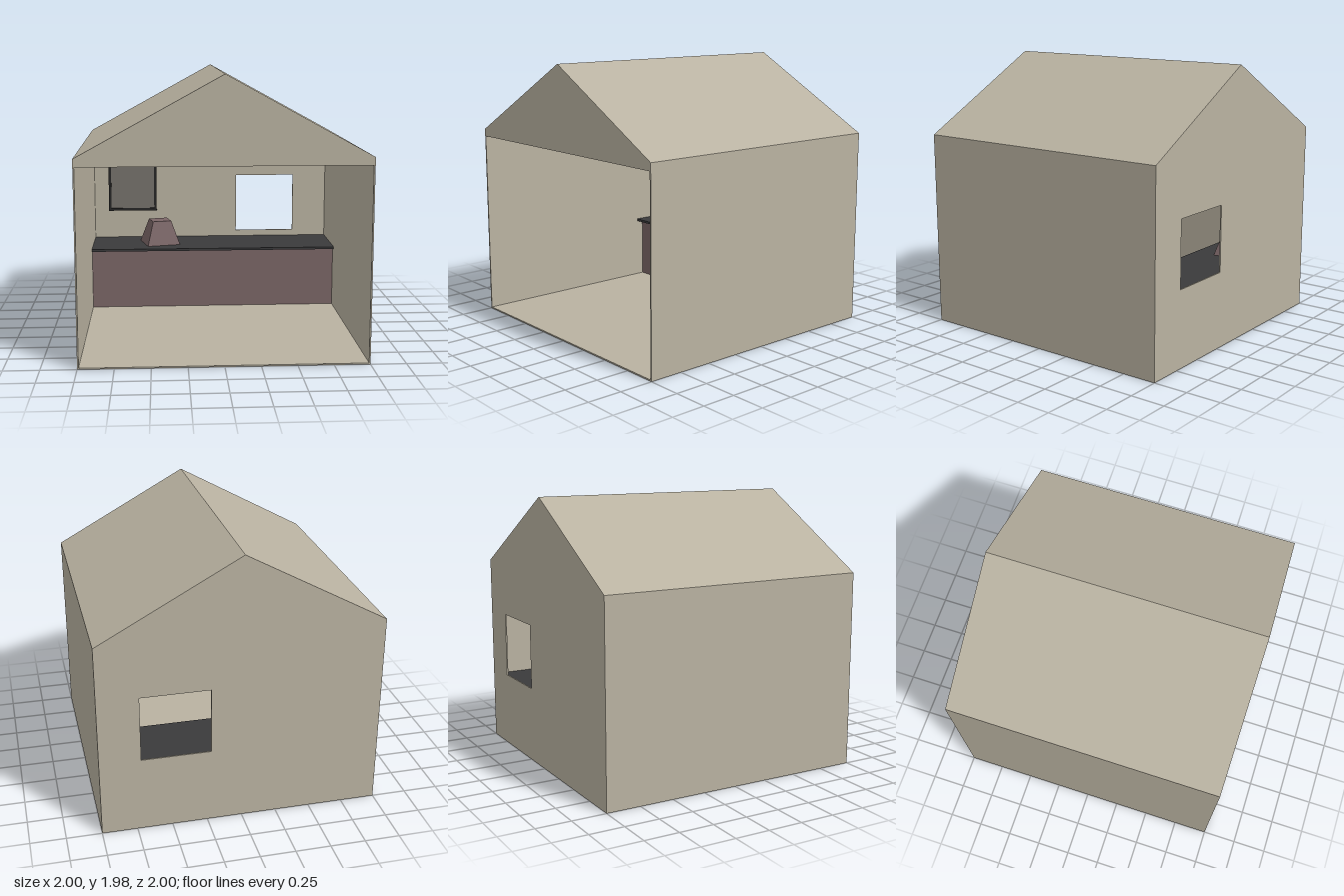
import * as THREE from 'three';

const mat = (name, color) => {
  const m = new THREE.MeshStandardMaterial({ color });
  m.name = name;
  return m;
};

export function createModel() {
  const plaster = mat('plaster', 0xb9b2a1);
  const plum = mat('plum', 0x7a6566);
  const charcoal = mat('charcoal', 0x3a3a3b);
  const black = mat('black', 0x262626);
  const glass = mat('greyGlass', 0x75716a);

  const house = new THREE.Group();
  house.name = 'house';
  const add = (name, geometry, material, x = 0, y = 0, z = 0) => {
    const mesh = new THREE.Mesh(geometry, material);
    mesh.name = name;
    mesh.position.set(x, y, z);
    house.add(mesh);
    return mesh;
  };
  const box = (name, material, x0, x1, y0, y1, z0, z1) =>
    add(name, new THREE.BoxGeometry(x1 - x0, y1 - y0, z1 - z0), material,
      (x0 + x1) / 2, (y0 + y1) / 2, (z0 + z1) / 2);
  const extrude = (shape, depth) =>
    new THREE.ExtrudeGeometry(shape, { depth, bevelEnabled: false });

  // Gabled outline and rectangle as point lists
  const gable = (w, bottom, eave, ridge) =>
    [[-w, bottom], [w, bottom], [w, eave], [0, ridge], [-w, eave]].map(p => new THREE.Vector2(...p));
  const rect = (x0, x1, y0, y1) =>
    [[x0, y0], [x1, y0], [x1, y1], [x0, y1]].map(p => new THREE.Vector2(...p));

  // Floor, side walls and roof as one thin shell
  const shell = new THREE.Shape(gable(1, 0, 1.43, 1.98));
  shell.holes.push(new THREE.Path(gable(0.99, 0.01, 1.424, 1.969)));
  add('shell', extrude(shell, 2), plaster, 0, 0, -1);

  // Back wall with window opening
  const back = new THREE.Shape(gable(0.99, 0.01, 1.424, 1.969));
  back.holes.push(new THREE.Path(rect(0.22, 0.71, 0.555, 1.035)));
  add('backWall', extrude(back, 0.01), plaster, 0, 0, -1);

  // Front gable above the open side
  add('frontGable', extrude(new THREE.Shape(gable(0.99, 1.375, 1.424, 1.969)), 0.01),
    plaster, 0, 0, 0.99);

  // Counter along the back wall
  box('counterBase', plum, -0.99, 0.99, 0.01, 0.487, -0.99, -0.53);
  box('counterTop', charcoal, -0.99, 0.99, 0.487, 0.505, -0.99, -0.475);

  // Tapered four-sided block standing turned on the counter
  const block = add('taperedBlock',
    new THREE.CylinderGeometry(0.108, 0.193, 0.193, 4, 1).toNonIndexed(),
    plum, -0.435, 0.6015, -0.74);
  block.geometry.computeVertexNormals();
  block.rotation.y = -Math.atan2(0.1, 0.165);

  // Framed panel on the back wall
  const frame = new THREE.Shape(rect(-0.87, -0.463, 0.737, 1.172));
  frame.holes.push(new THREE.Path(rect(-0.849, -0.484, 0.758, 1.151)));
  add('panelFrame', extrude(frame, 0.02), black, 0, 0, -0.99);
  box('panelGlass', glass, -0.849, -0.484, 0.758, 1.151, -0.99, -0.982);

  return house;
}
